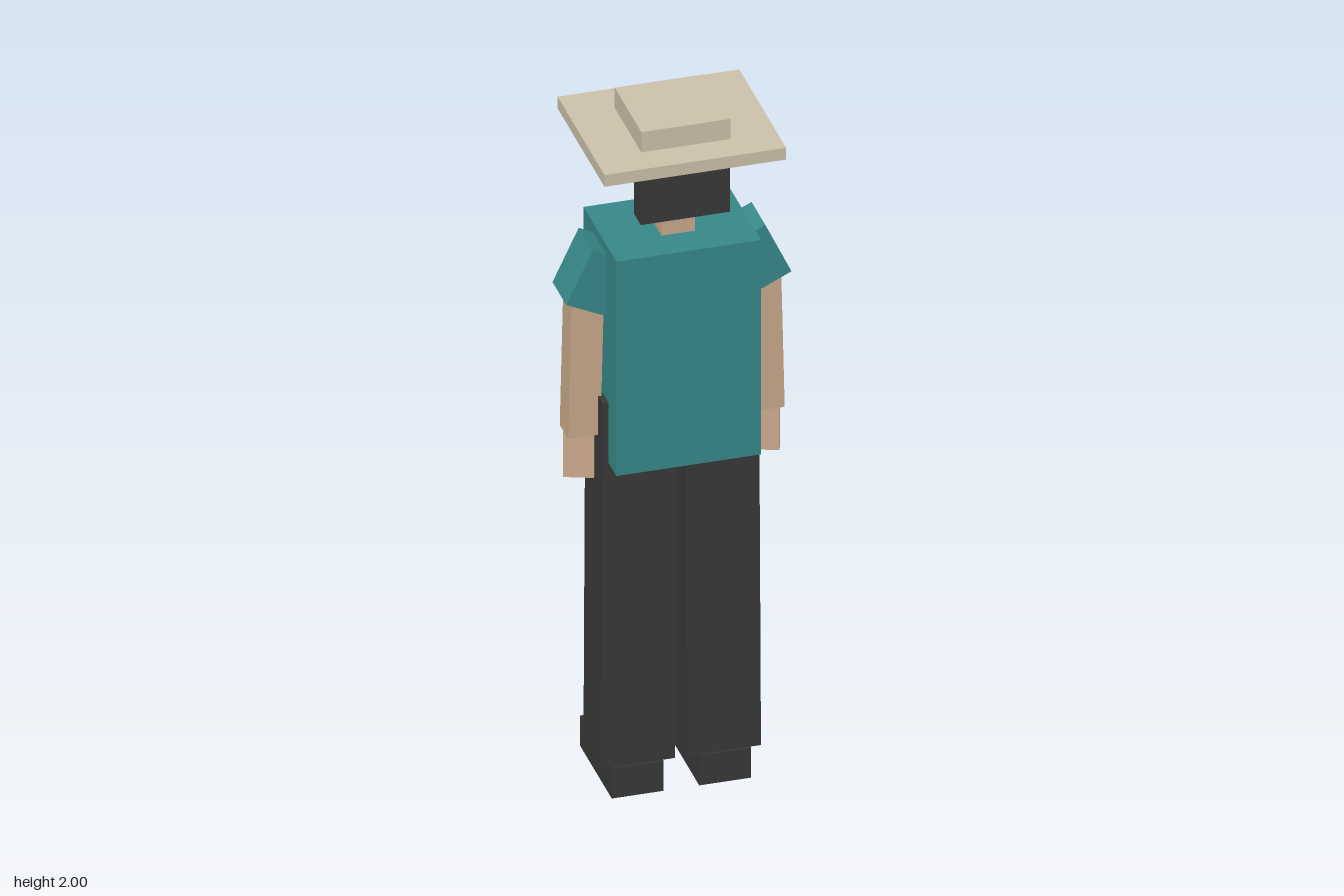
import * as THREE from 'three';

const material = (color) => new THREE.MeshStandardMaterial({ color, flatShading: true });
const SKIN = material(0xcbaa8c);
const SHIRT = material(0x388a8b);
const DARK = material(0x383938);
const STRAW = material(0xcdc3ac);

// Box given by its extents on each axis
function block(name, mat, [x0, x1], [y0, y1], [z0, z1]) {
  const geometry = new THREE.BoxGeometry(x1 - x0, y1 - y0, z1 - z0);
  geometry.translate((x0 + x1) / 2, (y0 + y1) / 2, (z0 + z1) / 2);
  const mesh = new THREE.Mesh(geometry, mat);
  mesh.name = name;
  return mesh;
}

// Move vertices by a rule
function reshape(mesh, rule) {
  const p = mesh.geometry.attributes.position;
  const v = new THREE.Vector3();
  for (let i = 0; i < p.count; i++) {
    rule(v.fromBufferAttribute(p, i));
    p.setXYZ(i, v.x, v.y, v.z);
  }
  mesh.geometry.computeVertexNormals();
  return mesh;
}

function createHead() {
  const head = new THREE.Group();
  head.name = 'head';
  // Jaw narrows towards the chin
  const jaw = reshape(block('jaw', SKIN, [-0.115, 0.115], [1.72, 1.8], [-0.125, 0.06]), (v) => {
    if (v.y < 1.76) {
      v.x *= 0.65;
      if (v.z < 0) v.z = -0.09;
    }
  });
  head.add(
    jaw,
    block('face', SKIN, [-0.115, 0.115], [1.8, 1.905], [-0.125, 0.06]),
    block('nose', SKIN, [-0.02, 0.02], [1.805, 1.853], [-0.152, -0.12]),
    block('glasses', DARK, [-0.108, 0.108], [1.862, 1.9], [-0.152, -0.125]),
    block('backHair', DARK, [-0.12, 0.12], [1.72, 1.908], [0.06, 0.12]),
    block('topHair', DARK, [-0.12, 0.12], [1.89, 1.908], [-0.105, 0.06]),
    block('neck', SKIN, [-0.045, 0.045], [1.6, 1.73], [-0.05, 0.055]),
  );
  return head;
}

function createHat() {
  const hat = new THREE.Group();
  hat.name = 'hat';
  hat.add(
    block('brim', STRAW, [-0.245, 0.245], [1.905, 1.94], [-0.212, 0.21]),
    block('crown', STRAW, [-0.12, 0.12], [1.94, 2.0], [-0.115, 0.125]),
  );
  return hat;
}

function createArm(side) {
  const arm = new THREE.Group();
  arm.name = side > 0 ? 'leftArm' : 'rightArm';
  // Tilted short sleeve
  const sleeve = block('sleeve', SHIRT, [-0.058, 0.058], [-0.083, 0.083], [-0.062, 0.062]);
  sleeve.position.set(side * 0.216, 1.53, 0);
  sleeve.rotation.z = side * 0.44;
  // Forearm leans outwards slightly
  const x = [side * 0.195, side * 0.282].sort((a, b) => a - b);
  const limb = reshape(block('forearm', SKIN, x, [1.065, 1.5], [-0.036, 0.04]), (v) => {
    if (v.y < 1.2) v.x += side * 0.01;
  });
  // Flat hand, turned a little
  const hand = block('hand', SKIN, [-0.04, 0.04], [0.93, 1.08], [-0.0175, 0.0175]);
  hand.position.set(side * 0.25, 0, -0.003);
  hand.rotation.y = -0.35;
  arm.add(sleeve, limb, hand);
  return arm;
}

function createLeg(side) {
  const leg = new THREE.Group();
  leg.name = side > 0 ? 'leftLeg' : 'rightLeg';
  const trousers = reshape(block('trouserLeg', DARK, [-0.1, 0.1], [0.09, 1.18], [-0.076, 0.08]), (v) => {
    if (v.y > 1) v.x -= side * 0.005;
  });
  trousers.position.x = side * 0.116;
  const shoe = block('shoe', DARK, [-0.07, 0.07], [0, 0.09], [-0.2, 0.085]);
  shoe.position.x = side * 0.118;
  leg.add(trousers, shoe);
  return leg;
}

export function createModel() {
  const figure = new THREE.Group();
  figure.name = 'figure';
  figure.add(
    createHat(),
    createHead(),
    block('shirt', SHIRT, [-0.195, 0.195], [1.0, 1.64], [-0.145, 0.15]),
  );
  for (const side of [-1, 1]) figure.add(createArm(side), createLeg(side));
  return figure;
}
